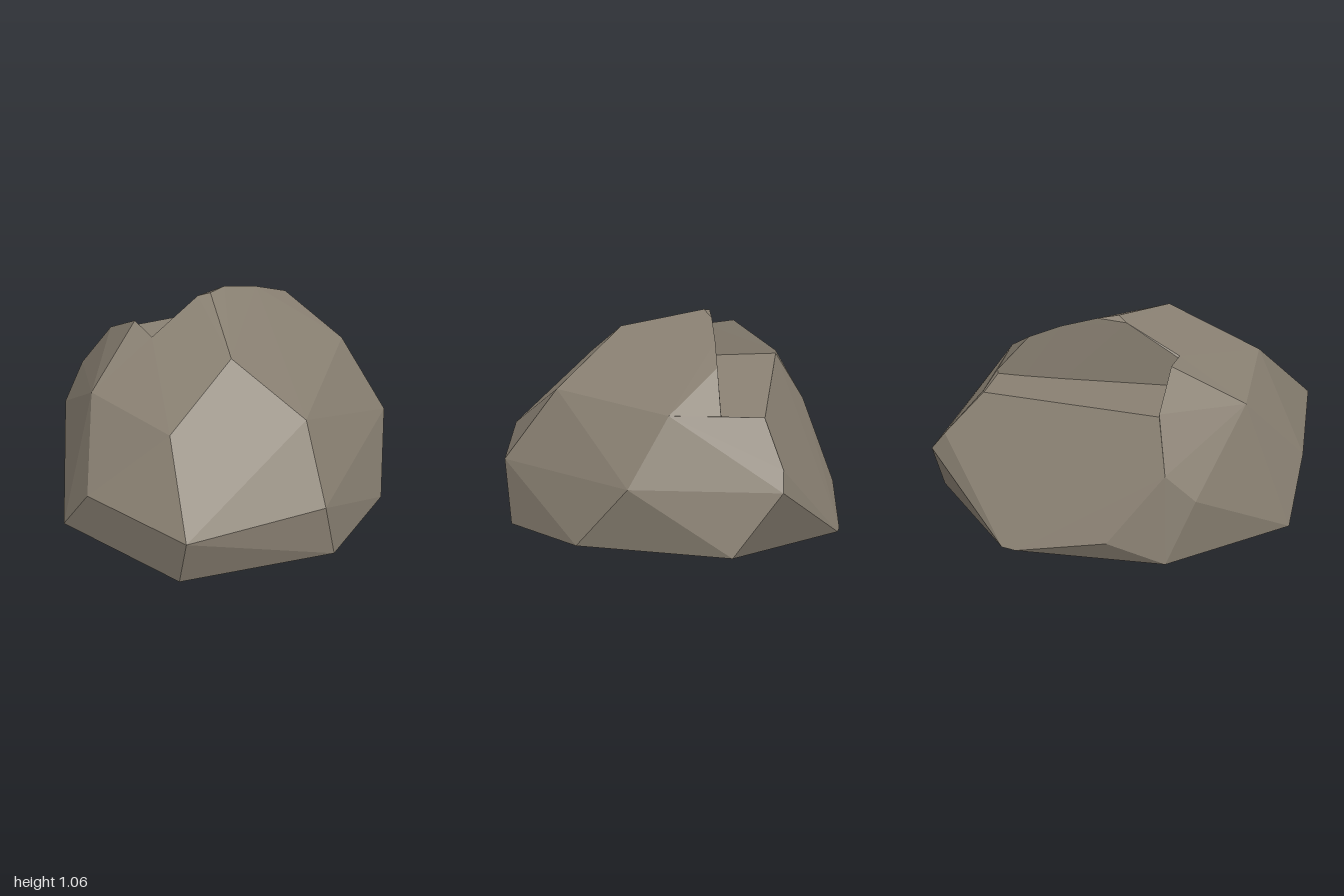
import * as THREE from 'three';
import { ConvexGeometry } from 'three/addons/geometries/ConvexGeometry.js';

const stone = new THREE.MeshStandardMaterial({ color: 0x8a8173 });
stone.name = 'stone';

const v = (p) => new THREE.Vector3(...p);

// One convex chunk of faceted rock
function chunk(name, ...lists) {
  const mesh = new THREE.Mesh(new ConvexGeometry(lists.flat().map(v)), stone);
  mesh.name = name;
  return mesh;
}

export function createModel() {
  const group = new THREE.Group();
  group.name = 'rock';

  // Foot of the rock
  const footFront = [[-0.63, 0, 0.6], [0.08, 0, 0.9], [0.74, 0, 0.42], [0.81, 0, -0.12], [0.42, 0, -0.85]];
  const footBack = [[-0.33, 0, -0.83], [-0.39, 0, -0.78], [-0.8, 0, -0.13]];

  // Widest ring
  const ringFront = [[-0.46, 0.3, 0.74], [0.15, 0.31, 1], [0.72, 0.32, 0.49], [0.73, 0.33, -0.41]];
  const backTip = [0.21, 0.33, -1];
  const sideTip = [-0.81, 0.33, 0.03];

  // Shoulders
  const shoulderRight = [-0.55, 0.69, 0.4];
  const shoulderFront = [-0.05, 0.71, 0.66];
  const shoulderLeft = [0.55, 0.69, 0.29];
  const shoulderBack = [0.49, 0.68, -0.46];

  // Edge of the large sheared face at the back
  const shearLow = [-0.7, 0.12, -0.41];
  const shearSide = [-0.77, 0.48, -0.12];
  const shearBack = [0.16, 0.43, -0.95];

  // Ledge: floor corners, then the rims of its two ends
  const floor = [[0.28, 0.65, -0.62], [0.11, 0.65, -0.76], [-0.61, 0.735, -0.09], [-0.32, 0.735, 0.13]];
  const rimBack = [[0.28, 0.67, -0.62], [0.11, 0.66, -0.76]];
  const rimSide = [[-0.61, 0.75, -0.09], [-0.44, 0.915, 0.04], [-0.32, 0.9, 0.13]];

  // Crest above the ledge wall
  const crest = [[0.14, 0.95, 0.25], [-0.09, 1.063, -0.11], [-0.15, 1.045, -0.09],
    [-0.05, 1.045, -0.21], [0.07, 0.97, -0.36], [0.18, 0.88, -0.49]];

  group.add(
    // Base with the sheared face and the ledge floor
    chunk('lowerRock', footFront, footBack, ringFront,
      [backTip, sideTip, shearLow, shearSide, shearBack, shoulderRight, shoulderFront], floor),
    // Tall front mass, ending in the ledge wall
    chunk('frontMass', footFront, ringFront, crest,
      [shoulderRight, shoulderFront, shoulderLeft, shoulderBack, rimBack[0], rimSide[2]]),
    // Horn closing the side end of the ledge
    chunk('sideHorn', rimSide,
      [floor[2], floor[3], sideTip, shearSide, shoulderRight, ringFront[0], [-0.32, 0, 0.13], [-0.61, 0, -0.09]]),
    // Shoulder closing the back end of the ledge
    chunk('backShoulder', rimBack,
      [shoulderBack, shearBack, backTip, ringFront[3], footFront[4], [0.2, 0, -0.5]]),
  );
  return group;
}
